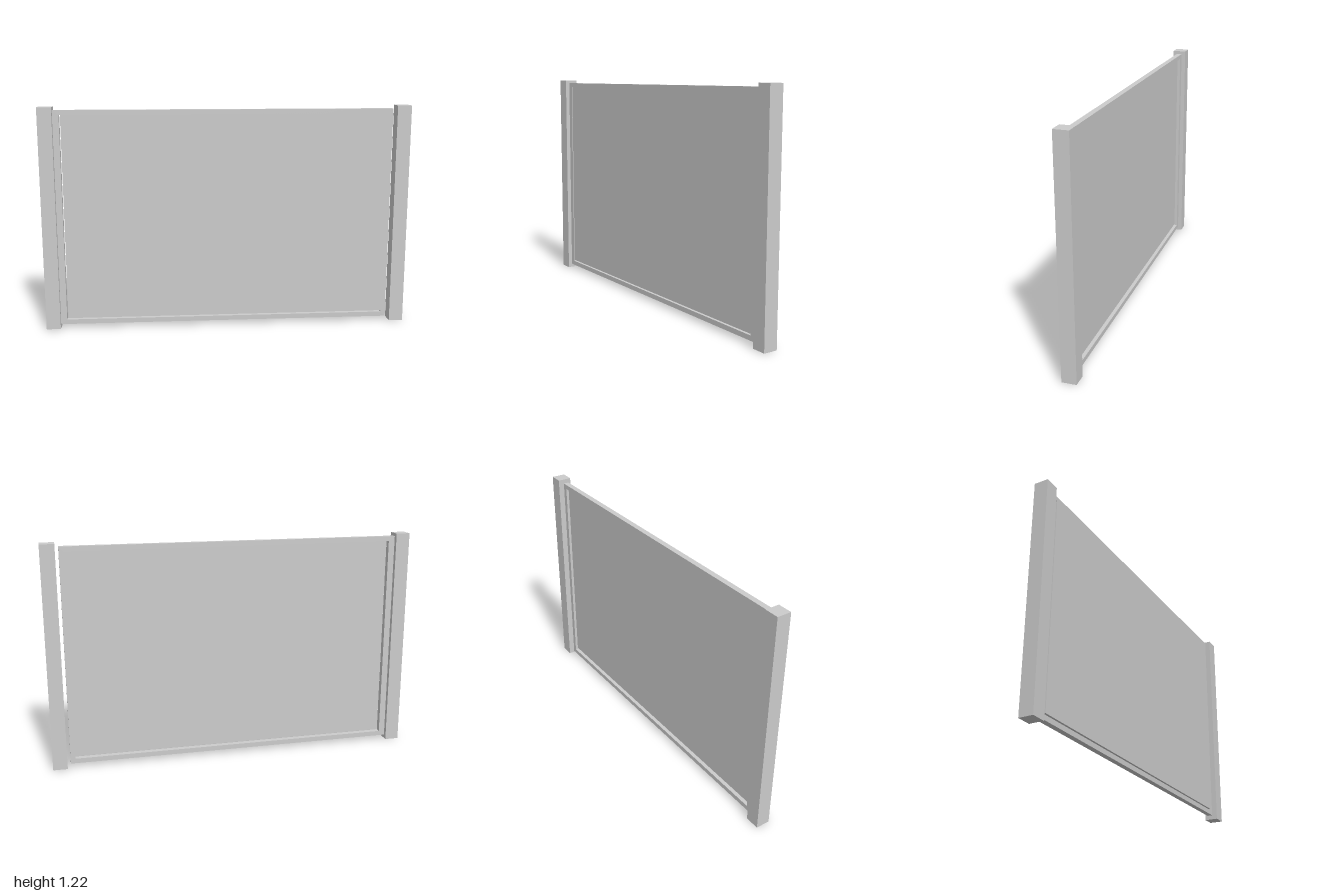
import * as THREE from 'three';

const material = new THREE.MeshStandardMaterial({ color: 0xcccccc, flatShading: true });

// Box given by its minimum and maximum corners
function box(name, [x0, y0, z0], [x1, y1, z1]) {
  const mesh = new THREE.Mesh(new THREE.BoxGeometry(x1 - x0, y1 - y0, z1 - z0), material);
  mesh.position.set((x0 + x1) / 2, (y0 + y1) / 2, (z0 + z1) / 2);
  mesh.name = name;
  return mesh;
}

function rectangle(path, x0, y0, x1, y1) {
  path.moveTo(x0, y0).lineTo(x1, y0).lineTo(x1, y1).lineTo(x0, y1).closePath();
  return path;
}

export function createModel() {
  const group = new THREE.Group();
  group.name = 'fencePanel';

  // Square posts at both ends
  const postWidth = 0.077, postHeight = 1.215, half = 0.038;
  group.add(box('rightPost', [-1, 0, -half], [-1 + postWidth, postHeight, half]));
  group.add(box('leftPost', [1 - postWidth, 0, -half], [1, postHeight, half]));

  // Thin rectangular frame, touching the right post only
  const depth = 0.015;
  const outline = rectangle(new THREE.Shape(), -0.923, 0.02, 0.905, 1.198);
  outline.holes.push(rectangle(new THREE.Path(), -0.889, 0.046, 0.878, 1.173));
  const frame = new THREE.Mesh(
    new THREE.ExtrudeGeometry(outline, { depth: 2 * depth, bevelEnabled: false }), material);
  frame.position.z = -depth;
  frame.name = 'frame';
  group.add(frame);

  // Infill sheet, flush with the front, leaving a slit at the right and the bottom
  group.add(box('infillSheet', [-0.882, 0.054, 0], [0.905, 1.198, depth]));

  return group;
}
